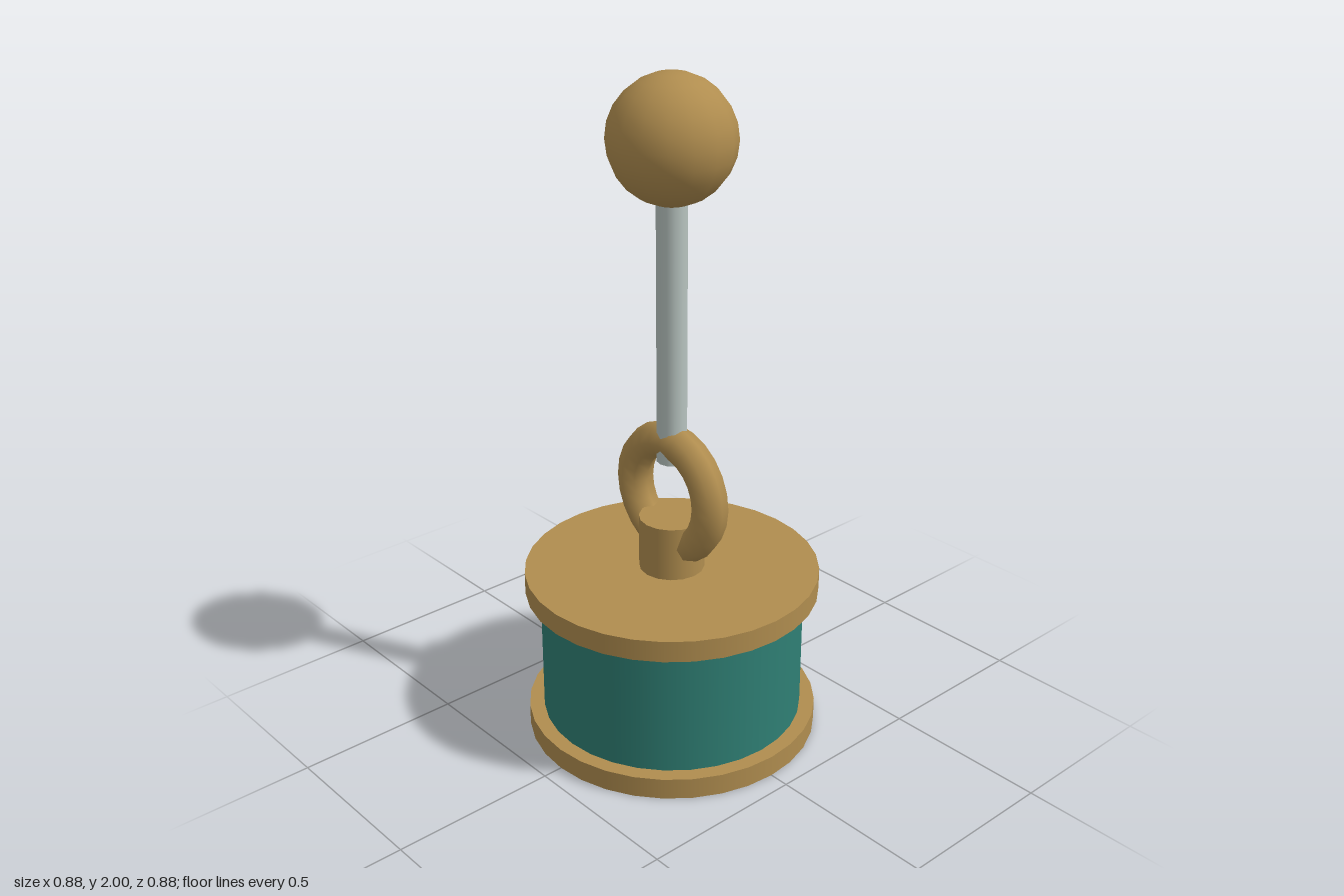
import * as THREE from 'three';

export function createModel() {
  const model = new THREE.Group();
  const brass = new THREE.MeshStandardMaterial({ color: 0xb08d4f });
  const teal = new THREE.MeshStandardMaterial({ color: 0x2f7f74 });
  const steel = new THREE.MeshStandardMaterial({ color: 0xb8c4c0 });

  function add(name, geometry, material, y) {
    const mesh = new THREE.Mesh(geometry, material);
    mesh.name = name;
    mesh.position.y = y;
    model.add(mesh);
  }

  // Upright cylinder between two heights
  function addCylinder(name, radius, bottom, top, sides, material) {
    const geometry = new THREE.CylinderGeometry(radius, radius, top - bottom, sides);
    add(name, geometry, material, (bottom + top) / 2);
  }

  // Drum held between two wider plates
  addCylinder('bottomPlate', 0.44, 0, 0.065, 32, brass);
  addCylinder('drum', 0.395, 0.065, 0.46, 32, teal);
  addCylinder('topPlate', 0.44, 0.46, 0.525, 32, brass);

  // Post carrying the ring
  addCylinder('post', 0.098, 0.525, 0.69, 16, brass);
  add('ring', new THREE.TorusGeometry(0.164, 0.053, 8, 24), brass, 0.767);

  // Rod rising from the ring to the ball
  addCylinder('rod', 0.045, 0.87, 1.68, 12, steel);
  add('ball', new THREE.SphereGeometry(0.182, 16, 12), brass, 1.818);

  return model;
}
